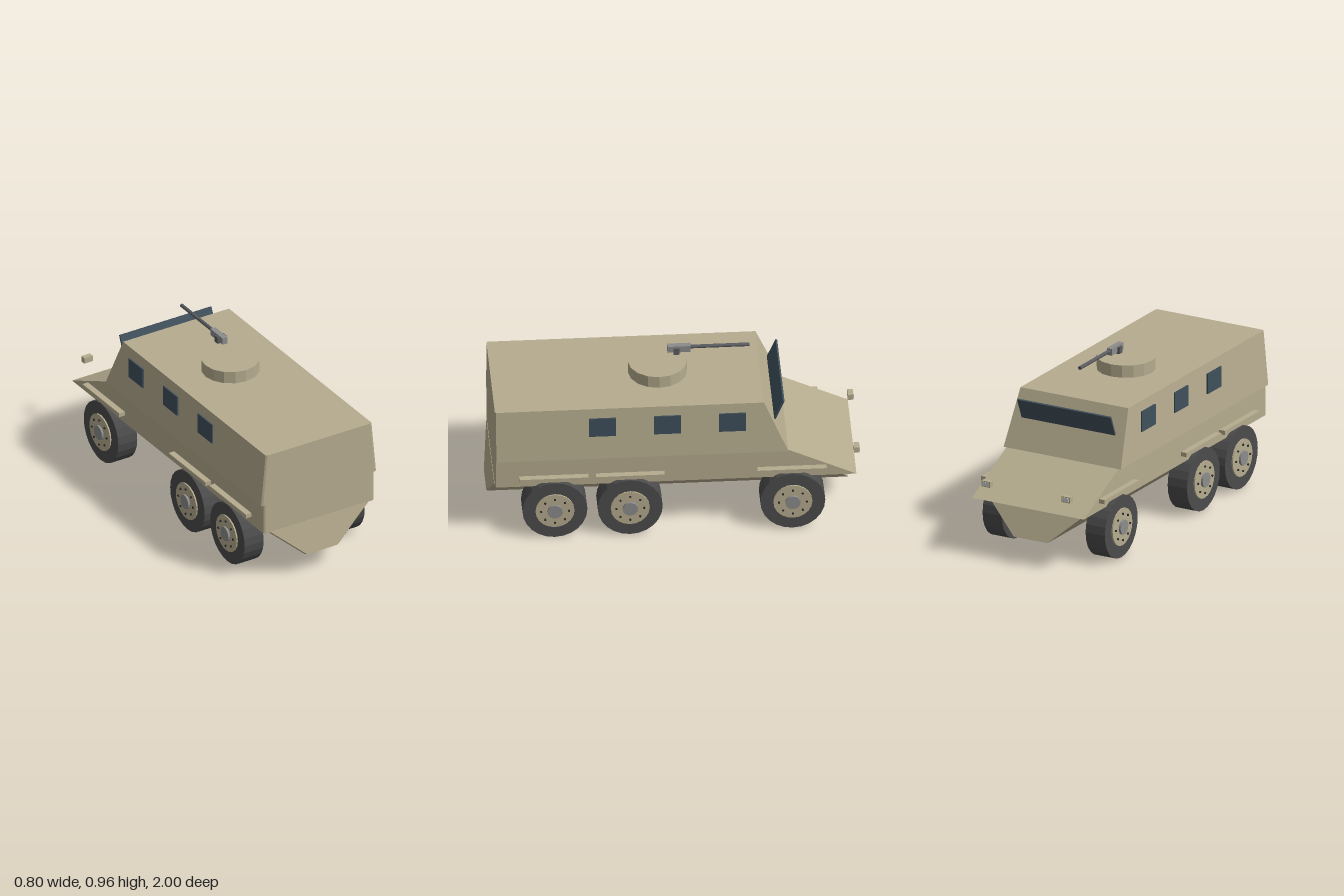
import * as THREE from 'three';

const mat = (color) => new THREE.MeshStandardMaterial({ color, flatShading: true });
const khaki = mat(0xb5ab8e), rubber = mat(0x4b4b4b), glass = mat(0x40505c);
const steel = mat(0x8c8c8c), gunmetal = mat(0x5a5c60), bolt = mat(0x2c2c2c), lens = mat(0xd8d8d0);

function add(parent, name, geometry, material, x = 0, y = 0, z = 0) {
  const mesh = new THREE.Mesh(geometry, material);
  mesh.name = name;
  mesh.position.set(x, y, z);
  parent.add(mesh);
  return mesh;
}

const box = (w, h, d) => new THREE.BoxGeometry(w, h, d);
// Cylinder lying along x
const disc = (r, length, sides) => new THREE.CylinderGeometry(r, r, length, sides).rotateZ(Math.PI / 2);

// Hull block between two level outlines, each { y, w: half width, rear, front },
// with slim chamfers on the two rear corners
function hullBlock(bottom, top) {
  const ring = ({ y, w, rear, front }) => [
    [w - 0.01, y, rear], [w, y, rear - 0.006], [w, y, front],
    [-w, y, front], [-w, y, rear - 0.006], [-w + 0.01, y, rear],
  ];
  const b = ring(bottom), t = ring(top), n = b.length, points = [];
  for (let i = 0; i < n; i++) {
    const j = (i + 1) % n;
    points.push(b[i], b[j], t[j], b[i], t[j], t[i]);
    if (i > 0 && i < n - 1) points.push(t[0], t[i], t[j], b[0], b[j], b[i]);
  }
  const geometry = new THREE.BufferGeometry();
  geometry.setAttribute('position', new THREE.Float32BufferAttribute(points.flat(), 3));
  geometry.computeVertexNormals();
  return geometry;
}

// Wheel with its outer face toward +x
function makeWheel() {
  const wheel = new THREE.Group();
  wheel.name = 'wheel';
  add(wheel, 'tyre', disc(0.175, 0.12, 24), rubber);
  add(wheel, 'rim', disc(0.105, 0.02, 20), khaki, 0.058);
  add(wheel, 'hubCap', disc(0.041, 0.03, 16), steel, 0.065);
  for (let i = 0; i < 8; i++) {
    const a = (i * Math.PI) / 4;
    add(wheel, 'wheelBolt', disc(0.006, 0.02, 6), bolt, 0.065, 0.075 * Math.sin(a), 0.075 * Math.cos(a));
  }
  return wheel;
}

export function createModel() {
  const model = new THREE.Group();
  model.name = 'armouredCarrier';

  // Hull: V-shaped belly, wedge-nosed middle, sloped cabin
  add(model, 'lowerHull', hullBlock(
    { y: 0.128, w: 0.105, rear: 1.0, front: -0.945 },
    { y: 0.316, w: 0.318, rear: 0.972, front: -0.868 }), khaki);
  add(model, 'middleHull', hullBlock(
    { y: 0.315, w: 0.348, rear: 0.97, front: -0.975 },
    { y: 0.49, w: 0.348, rear: 0.97, front: -0.605 }), khaki);
  add(model, 'cabin', hullBlock(
    { y: 0.49, w: 0.364, rear: 0.97, front: -0.608 },
    { y: 0.795, w: 0.335, rear: 0.97, front: -0.478 }), khaki);

  // Visor plate leaning forward over the cabin slope
  const visor = add(model, 'windscreen', box(0.58, 0.125, 0.01), glass, 0, 0.711, -0.563);
  visor.rotation.x = -0.4;

  // Paired side parts
  for (const side of [1, -1]) {
    for (const z of [0.65, 0.245, -0.63]) {
      const wheel = makeWheel();
      wheel.position.set(side * 0.32, 0.175, z);
      if (side < 0) wheel.rotation.y = Math.PI;
      model.add(wheel);
    }
    for (const z of [0.655, 0.245, -0.627])
      add(model, 'fender', box(0.045, 0.024, 0.372), khaki, side * 0.361, 0.371, z);
    for (const z of [0.393, 0.043, -0.307])
      add(model, 'sideWindow', box(0.008, 0.115, 0.145), glass, side * 0.36, 0.692, z);
    add(model, 'headlamp', box(0.054, 0.033, 0.03), khaki, side * 0.248, 0.417, -0.982);
    add(model, 'headlampLens', box(0.042, 0.023, 0.004), lens, side * 0.248, 0.417, -0.998);
  }

  // Roof turret and gun
  add(model, 'turret', new THREE.CylinderGeometry(0.159, 0.159, 0.07, 16), khaki, 0, 0.829, 0.073);
  const gun = new THREE.Group();
  gun.name = 'gun';
  add(gun, 'receiver', box(0.032, 0.038, 0.125), steel, 0, 0.941, -0.043);
  add(gun, 'gunCradle', box(0.054, 0.038, 0.032), gunmetal, 0, 0.933, -0.029);
  add(gun, 'barrel', new THREE.CylinderGeometry(0.01, 0.01, 0.32, 10).rotateX(Math.PI / 2), gunmetal, 0, 0.946, -0.262);
  model.add(gun);

  return model;
}
